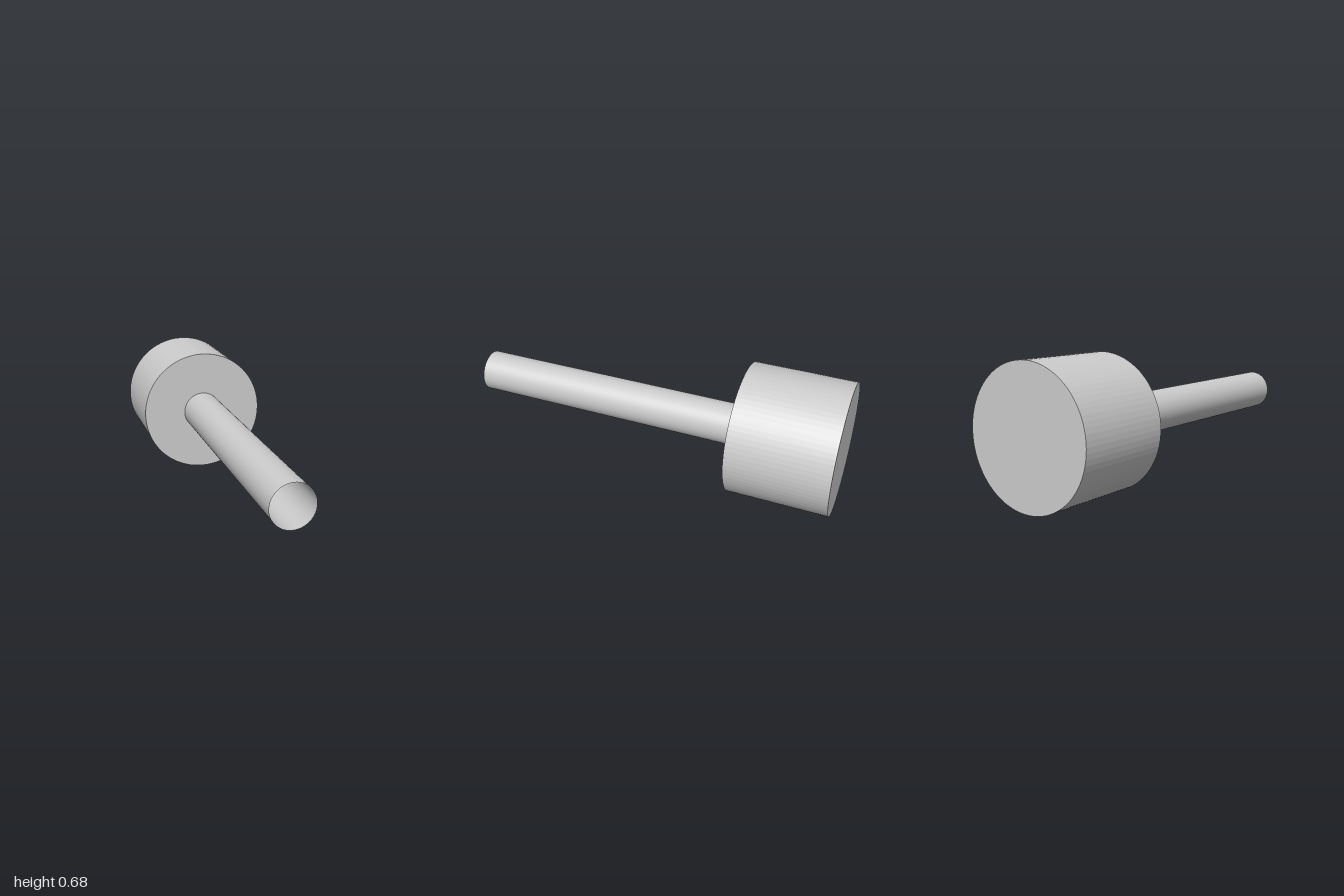
import * as THREE from 'three';

const AXIS_Y = 0.34; // height of the shared centre line

// Cylinder lying along z, from zBack to zFront
function rod(name, radius, zBack, zFront, segments, open, options) {
  const geometry = new THREE.CylinderGeometry(radius, radius, zFront - zBack, segments, 1, open);
  geometry.rotateX(Math.PI / 2);
  const material = new THREE.MeshStandardMaterial({ color: 0xcccccc, ...options });
  const mesh = new THREE.Mesh(geometry, material);
  mesh.name = name;
  mesh.position.set(0, AXIS_Y, (zBack + zFront) / 2);
  return mesh;
}

export function createModel() {
  const group = new THREE.Group();
  group.name = 'headedTube';

  // Solid head at the back
  group.add(rod('head', 0.34, -1, -0.48, 80, false, { flatShading: true }));

  // Thin hollow shaft, open at the front
  group.add(rod('shaft', 0.108, -0.48, 1, 64, true, { side: THREE.DoubleSide }));

  return group;
}
